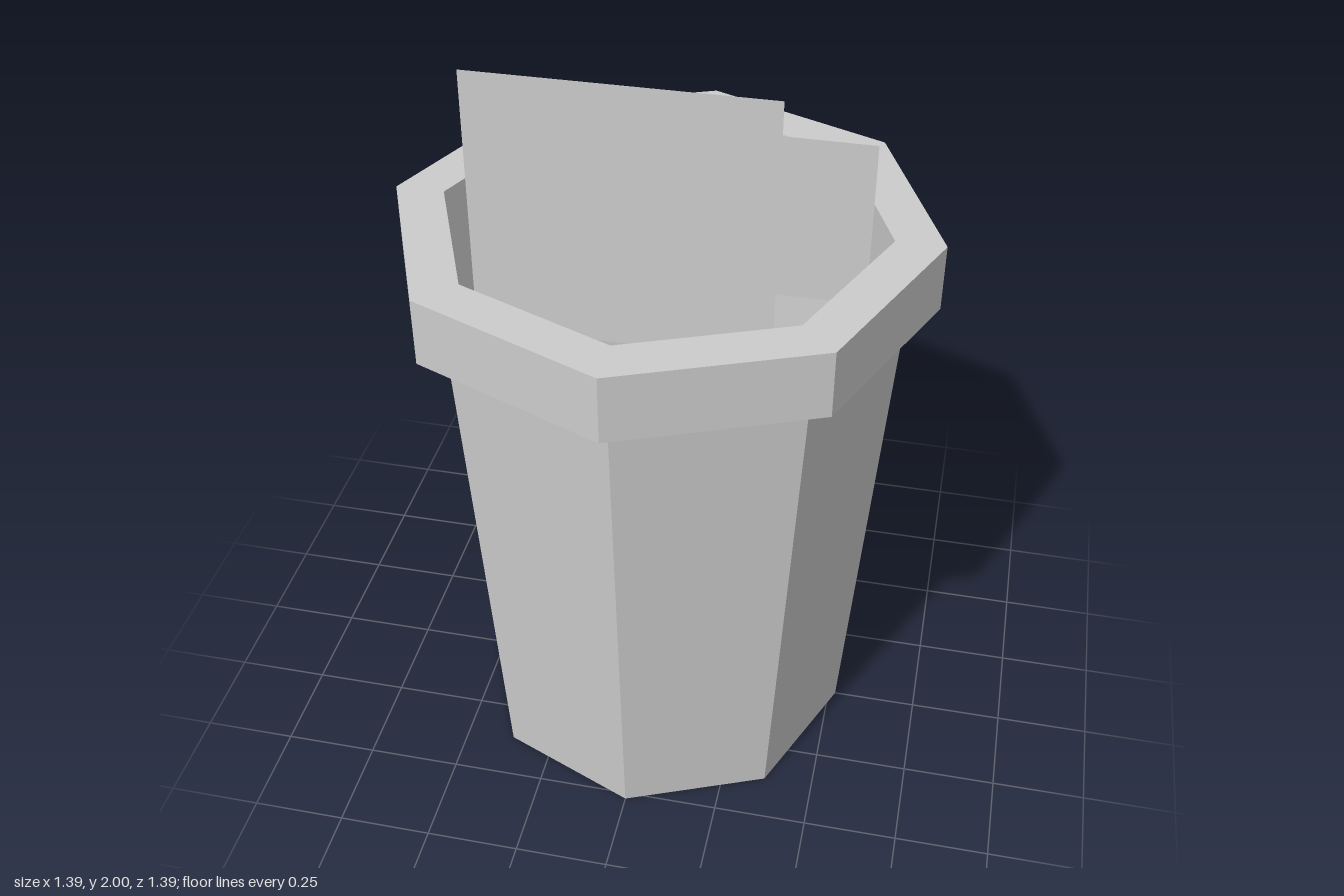
import * as THREE from 'three';

const SIDES = 8;

// Faceted octagonal surface swept from [radius, y] points
function facetedLathe(points) {
  const profile = points.map(([r, y]) => new THREE.Vector2(r, y));
  const geometry = new THREE.LatheGeometry(profile, SIDES).toNonIndexed();
  geometry.computeVertexNormals();
  return geometry;
}

export function createModel() {
  const group = new THREE.Group();
  group.name = 'wasteBin';

  // Double sided, as the sheets have no thickness
  const grey = new THREE.MeshStandardMaterial({ color: 0xcccccc, side: THREE.DoubleSide });
  grey.name = 'grey';

  const add = (name, geometry) => {
    const mesh = new THREE.Mesh(geometry, grey);
    mesh.name = name;
    group.add(mesh);
    return mesh;
  };

  // Tapered outer wall with closed underside
  add('body', facetedLathe([[0, 0], [0.52, 0], [0.617, 1.4]]));

  // Overhanging collar: underside, outer band, top
  add('rim', facetedLathe([[0.617, 1.4], [0.696, 1.4], [0.696, 1.578], [0.57, 1.578]]));

  // Inner wall and floor
  add('lining', facetedLathe([[0.57, 1.578], [0.517, 0.01], [0, 0.01]]));

  // Flat sheets standing in the opening: [x0, x1, y0, y1, z]
  const sheets = {
    largeSheet: [-0.455, 0.306, 1.29, 2.0, 0.155],
    smallSheet: [-0.165, 0.513, 1.386, 1.83, 0],
  };
  for (const [name, [x0, x1, y0, y1, z]] of Object.entries(sheets)) {
    const sheet = add(name, new THREE.PlaneGeometry(x1 - x0, y1 - y0));
    sheet.position.set((x0 + x1) / 2, (y0 + y1) / 2, z);
  }

  return group;
}
